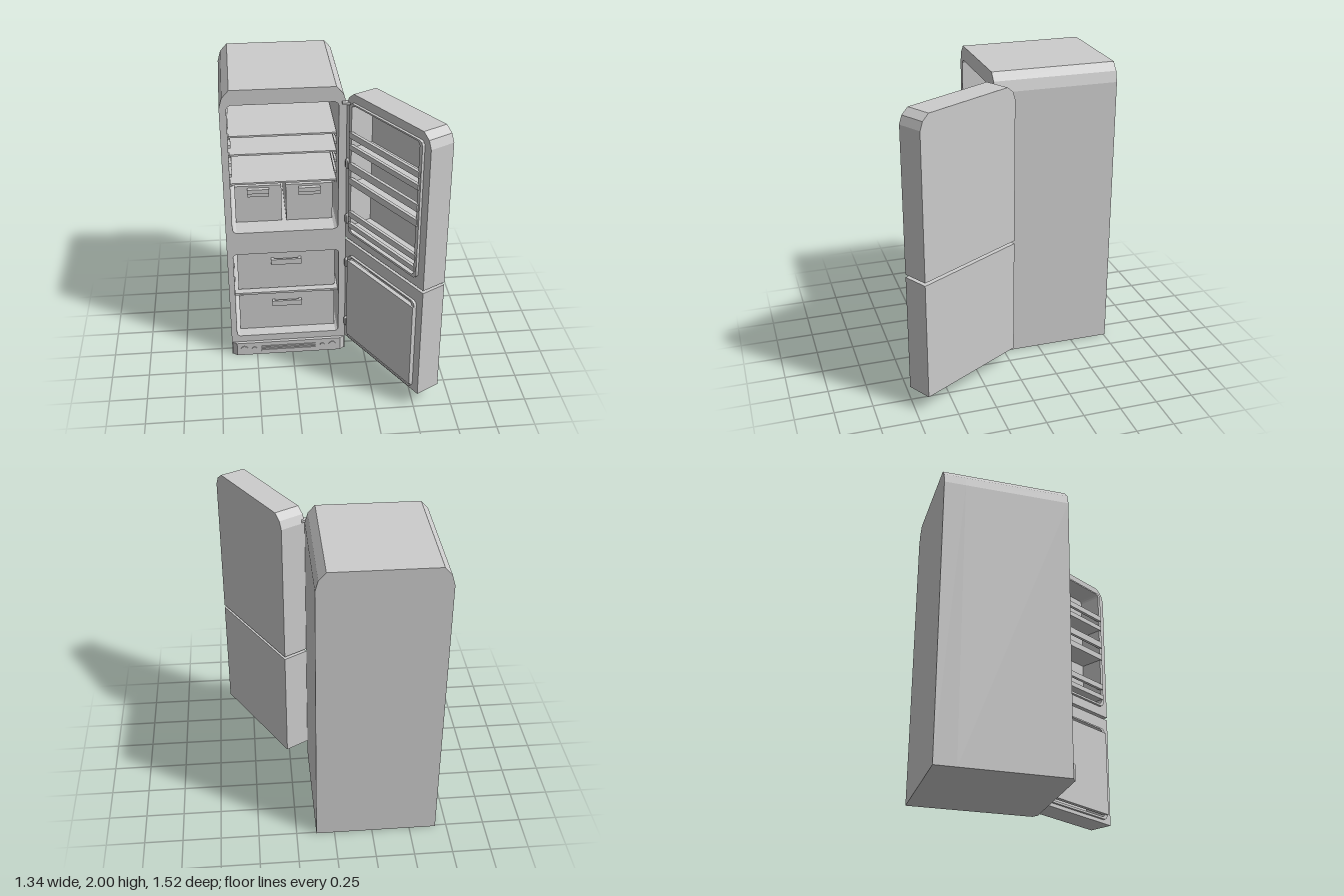
import * as THREE from 'three';

const grey = new THREE.MeshStandardMaterial({ color: 0xcccccc });
grey.name = 'pale grey';
grey.flatShading = true;

function add(parent, name, geometry, x = 0, y = 0, z = 0) {
  const mesh = new THREE.Mesh(geometry, grey);
  mesh.name = name;
  mesh.position.set(x, y, z);
  parent.add(mesh);
  return mesh;
}

// Box given by its limits on each axis
function box(parent, name, x0, x1, y0, y1, z0, z1) {
  return add(parent, name, new THREE.BoxGeometry(x1 - x0, y1 - y0, z1 - z0),
    (x0 + x1) / 2, (y0 + y1) / 2, (z0 + z1) / 2);
}

// Rectangle whose top corners (and bottom ones, if asked) are cut in two facets
function outline(x0, x1, y0, y1, cx, cy, bottom = false) {
  const pts = [];
  const facets = [[0, 1], [0.3, 0.42], [1, 0]];
  if (bottom) {
    facets.forEach(([a, b]) => pts.push([x0 + a * cx, y0 + b * cy]));
    [...facets].reverse().forEach(([a, b]) => pts.push([x1 - a * cx, y0 + b * cy]));
  } else pts.push([x0, y0], [x1, y0]);
  facets.forEach(([a, b]) => pts.push([x1 - a * cx, y1 - b * cy]));
  [...facets].reverse().forEach(([a, b]) => pts.push([x0 + a * cx, y1 - b * cy]));
  return pts.map(p => new THREE.Vector2(...p));
}

function slab(parent, name, points, holes, z0, z1) {
  const shape = new THREE.Shape(points);
  holes.forEach(h => shape.holes.push(new THREE.Path(h)));
  return add(parent, name, new THREE.ExtrudeGeometry(shape, { depth: z1 - z0, bevelEnabled: false }), 0, 0, z0);
}

// Bar handle standing on two short posts
function handle(parent, x0, x1, y0, y1, z) {
  box(parent, 'drawerHandleBar', x0, x1, y0, y1, z + 0.015, z + 0.03);
  for (const x of [x0, x1 - 0.02]) box(parent, 'drawerHandlePost', x, x + 0.02, y0, y1, z, z + 0.015);
}

function cabinet(root) {
  const g = new THREE.Group();
  g.name = 'cabinet';
  root.add(g);
  const shell = outline(-0.675, 0.12, 0, 2, 0.065, 0.12);
  const upper = outline(-0.63, 0.07, 0.985, 1.9, 0.025, 0.025, true);
  const lower = outline(-0.635, 0.075, 0.15, 0.82, 0.02, 0.02, true);
  slab(g, 'cabinetShell', shell, [upper, lower], -0.62, 0.065);
  slab(g, 'cabinetBack', shell, [], -0.76, -0.62);

  // Sloped lip under the freezer ceiling
  add(g, 'freezerLip', new THREE.CylinderGeometry(0.02, 0.02, 0.67, 3), -0.28, 0.815, 0.03).rotation.z = Math.PI / 2;

  // Ceiling lamps
  for (const x of [-0.4675, -0.0875]) {
    const lamp = new THREE.CylinderGeometry(0.0975 * Math.SQRT2, 0.08 * Math.SQRT2, 0.03, 4);
    lamp.rotateY(Math.PI / 4);
    add(g, 'lamp', lamp, x, 1.884, -0.25);
  }

  // Glass shelves and their side brackets
  for (const y of [1.64, 1.51, 1.3]) box(g, 'shelf', -0.628, 0.068, y - 0.012, y, -0.62, -0.045);
  for (const y of [1.62, 1.56, 1.49, 1.43, 1.35, 1.28])
    for (const x of [-0.63, 0.055]) box(g, 'shelfBracket', x, x + 0.015, y - 0.01, y + 0.01, -0.6, -0.06);

  // Two crisper drawers
  for (const x of [-0.605, -0.265]) {
    box(g, 'crisperDrawer', x, x + 0.31, 0.99, 1.26, -0.6, -0.075);
    box(g, 'crisperHandle', x + 0.083, x + 0.228, 1.215, 1.245, -0.075, -0.045);
    box(g, 'crisperHandlePlate', x + 0.083, x + 0.228, 1.185, 1.215, -0.075, -0.06);
  }

  // Freezer drawers with arched tops
  for (const [y0, y1, hy] of [[0.485, 0.8, 0.69], [0.15, 0.455, 0.35]]) {
    const s = new THREE.Shape();
    s.moveTo(-0.61, y0);
    s.lineTo(0.055, y0);
    s.lineTo(0.055, y1 - 0.025);
    s.quadraticCurveTo(-0.2775, y1 + 0.025, -0.61, y1 - 0.025);
    s.closePath();
    slab(g, 'freezerDrawer', s.getPoints(8), [], -0.6, -0.02);
    handle(g, -0.38, -0.175, hy, hy + 0.04, -0.02);
  }
  box(g, 'freezerShelf', -0.634, 0.074, 0.463, 0.478, -0.62, 0.02);
}

function kickPanel(root) {
  const g = new THREE.Group();
  g.name = 'kickPanel';
  root.add(g);
  const plan = [[-0.675, 0.06], [0.12, 0.06], [0.085, 0.088], [-0.64, 0.088]]
    .map(([x, z]) => new THREE.Vector2(x, -z));
  const geo = new THREE.ExtrudeGeometry(new THREE.Shape(plan), { depth: 0.1, bevelEnabled: false });
  geo.rotateX(-Math.PI / 2);
  add(g, 'kickPlate', geo);
  for (const y of [0.035, 0.05, 0.065]) box(g, 'ventSlat', -0.47, -0.09, y - 0.005, y + 0.005, 0.085, 0.094);
  for (const [x, r] of [[-0.59, 0.026], [-0.52, 0.017], [-0.04, 0.017], [0.03, 0.026]])
    add(g, 'knob', new THREE.CylinderGeometry(r, r, 0.012, 10), x, 0.05, 0.088).rotation.x = Math.PI / 2;
}

// Door in closed pose: width runs towards -x from the hinge, outside faces +z
function door(root, name, y0, y1, cut, r0, r1, bumps) {
  const g = new THREE.Group();
  g.name = name;
  g.position.set(0.12, 0, 0.065);
  g.rotation.y = THREE.MathUtils.degToRad(120);
  root.add(g);
  const outer = cut ? outline(-0.8, 0, y0, y1, 0.07, 0.09)
    : [[-0.8, y0], [0, y0], [0, y1], [-0.8, y1]].map(p => new THREE.Vector2(...p));
  const recess = outline(-0.72, -0.075, r0, r1, 0.02, 0.02, true);
  const liner = outline(-0.745, -0.05, r0 - 0.015, r1 + 0.01, 0.025, 0.025, true);
  slab(g, 'doorFrame', outer, [recess], 0, 0.147);
  slab(g, 'doorSkin', outer, [], 0.147, 0.173);
  slab(g, 'doorLiner', liner, [recess], -0.018, 0);
  // Rounded hinge covers
  for (const y of bumps) add(g, 'hingeCover', new THREE.CapsuleGeometry(0.016, 0.04, 3, 8), -0.025, y, -0.008);
  return g;
}

export function createModel() {
  const root = new THREE.Group();
  root.name = 'refrigerator';
  cabinet(root);
  kickPanel(root);

  // Fridge door with three bottle racks, each a tray and a rail
  const top = door(root, 'fridgeDoor', 0.92, 1.97, true, 1.0, 1.905, [1.48, 1.075]);
  for (const [t0, t1, b0, b1] of [[1.6, 1.635, 1.68, 1.72], [1.355, 1.4, 1.455, 1.505], [1.035, 1.07, 1.115, 1.155]]) {
    box(top, 'rackFront', -0.735, -0.06, t0, t1, -0.027, -0.005);
    box(top, 'rackFloor', -0.72, -0.075, t0, t0 + 0.012, -0.01, 0.147);
    box(top, 'rackRail', -0.735, -0.06, b0, b1, -0.027, -0.005);
  }

  // Freezer door with a flat cover over its recess
  const low = door(root, 'freezerDoor', 0.11, 0.9, false, 0.15, 0.8, [0.735, 0.25]);
  box(low, 'freezerCover', -0.745, -0.06, 0.17, 0.775, -0.03, 0);

  // Top hinge
  box(root, 'hingePlate', 0.09, 0.14, 1.888, 1.902, 0.05, 0.095);
  return root;
}
